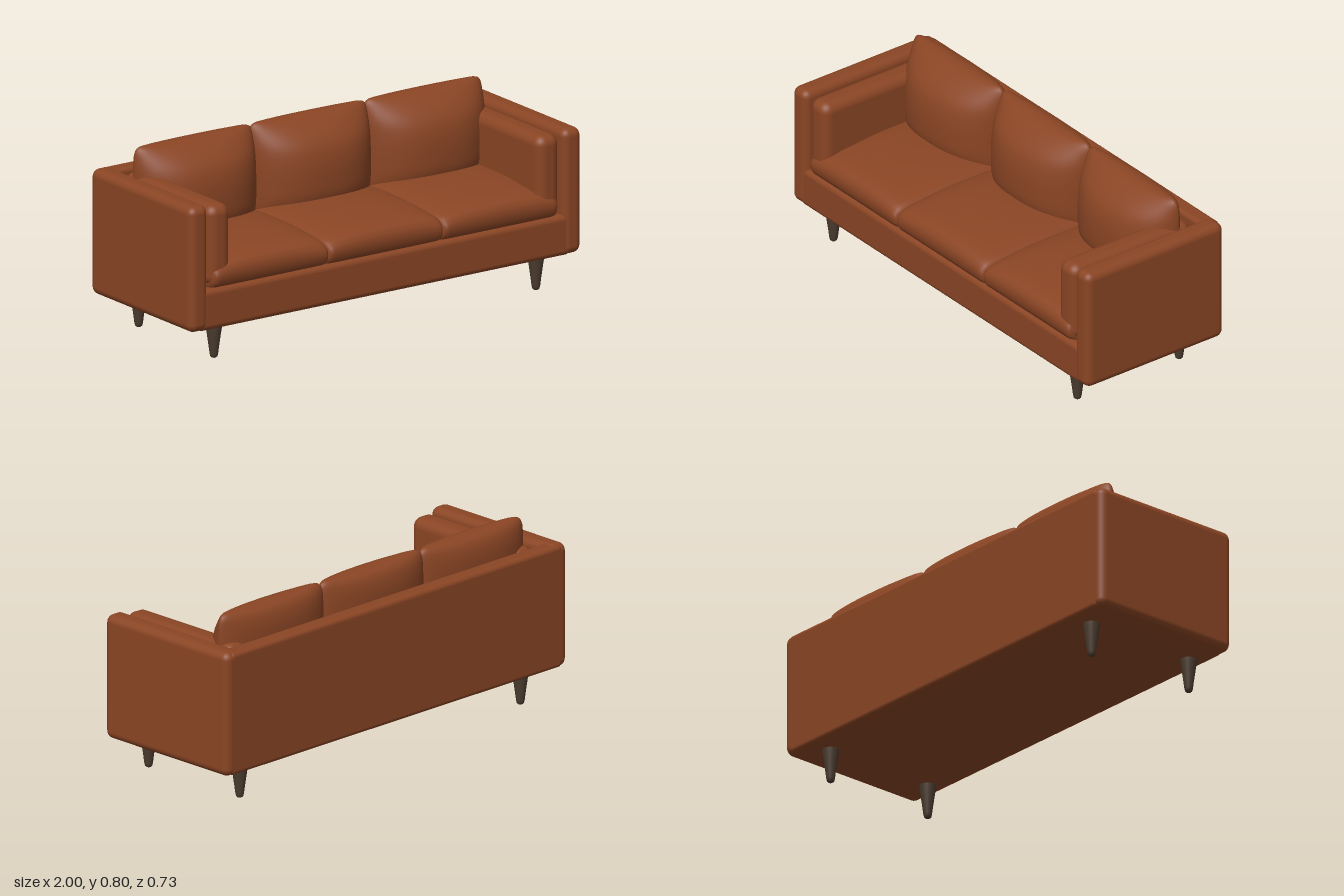
import * as THREE from 'three';
import { RoundedBoxGeometry } from 'three/addons/geometries/RoundedBoxGeometry.js';

const leather = new THREE.MeshStandardMaterial({ color: 0x8a4524 });
leather.name = 'brown leather';
const wood = new THREE.MeshStandardMaterial({ color: 0x4c3d30 });
wood.name = 'dark wood';

// Rounded upholstered block given by its min and max corners
function block(name, [x0, y0, z0], [x1, y1, z1], radius) {
  const geo = new RoundedBoxGeometry(x1 - x0, y1 - y0, z1 - z0, 5, radius);
  const mesh = new THREE.Mesh(geo, leather);
  mesh.position.set((x0 + x1) / 2, (y0 + y1) / 2, (z0 + z1) / 2);
  mesh.name = name;
  return mesh;
}

// Cushion lofted along x: a closed [z, y] profile (up the front, over the top,
// down the back) shrinks towards an anchor by scaleZ(u) and scaleY(u), u = -1..1
function cushion(name, profile, anchor, x, halfWidth, scaleZ, scaleY) {
  const rings = 40, around = 56;
  const curve = new THREE.CatmullRomCurve3(
    profile.map(([z, y]) => new THREE.Vector3(0, y, z)), true, 'centripetal');
  const section = curve.getSpacedPoints(around).slice(0, around);
  const positions = [], index = [];
  for (let i = 0; i <= rings; i++) {
    const u = -Math.cos(Math.PI * i / rings);
    const sz = scaleZ(u), sy = scaleY(u);
    for (const p of section) {
      positions.push(x + u * halfWidth,
        anchor[1] + (p.y - anchor[1]) * sy,
        anchor[0] + (p.z - anchor[0]) * sz);
    }
  }
  for (let i = 0; i < rings; i++) {
    for (let j = 0; j < around; j++) {
      const k = (j + 1) % around;
      const a = i * around + j, b = i * around + k;
      const c = a + around, d = b + around;
      index.push(a, c, b, b, c, d);
    }
  }
  const geo = new THREE.BufferGeometry();
  geo.setAttribute('position', new THREE.Float32BufferAttribute(positions, 3));
  geo.setIndex(index);
  geo.computeVertexNormals();
  const mesh = new THREE.Mesh(geo, leather);
  mesh.name = name;
  return mesh;
}

// Superellipse falloff: 1 in the middle, 0 at the ends
const falloff = (power, exponent) => (u) =>
  Math.pow(Math.max(0, 1 - Math.pow(Math.abs(u), power)), exponent);

const seatProfile = [
  [0.33, 0.32], [0.355, 0.34], [0.364, 0.375], [0.358, 0.415], [0.325, 0.44],
  [0.2, 0.461], [0.05, 0.472], [-0.15, 0.47], [-0.26, 0.46], [-0.275, 0.4],
  [-0.27, 0.32], [0, 0.315],
];
const backProfile = [
  [-0.07, 0.42], [-0.035, 0.47], [-0.028, 0.55], [-0.035, 0.64], [-0.055, 0.70],
  [-0.1, 0.753], [-0.16, 0.796], [-0.2, 0.804], [-0.25, 0.787], [-0.272, 0.74],
  [-0.28, 0.65], [-0.28, 0.5], [-0.26, 0.42],
];

// Tapered leg with a rounded foot
function leg(name, x, z) {
  const points = [
    [0, 0], [0.009, 0.001], [0.015, 0.006], [0.018, 0.018], [0.022, 0.05],
    [0.029, 0.1], [0.035, 0.14], [0.037, 0.165],
  ].map(([r, y]) => new THREE.Vector2(r, y));
  const mesh = new THREE.Mesh(new THREE.LatheGeometry(points, 24), wood);
  mesh.position.set(x, 0, z);
  mesh.name = name;
  return mesh;
}

export function createModel() {
  const sofa = new THREE.Group();
  sofa.name = 'sofa';

  // Frame
  sofa.add(block('base', [-0.95, 0.148, -0.355], [0.95, 0.325, 0.355], 0.025));
  sofa.add(block('backPanel', [-0.97, 0.152, -0.363], [0.97, 0.69, -0.285], 0.02));

  // Arms, padded inner arms and legs, mirrored
  for (const [side, s] of [['left', 1], ['right', -1]]) {
    const span = (a, b) => (s > 0 ? [a, b] : [-b, -a]);
    const [a0, a1] = span(0.905, 1);
    sofa.add(block(side + 'Arm', [a0, 0.15, -0.363], [a1, 0.695, 0.36], 0.035));
    const [p0, p1] = span(0.782, 0.897);
    sofa.add(block(side + 'ArmPad', [p0, 0.33, -0.28], [p1, 0.682, 0.352], 0.045));
    sofa.add(leg(side + 'FrontLeg', s * 0.822, 0.275));
    sofa.add(leg(side + 'BackLeg', s * 0.822, -0.26));
  }

  // Three seat cushions and three back cushions
  ['right', 'middle', 'left'].forEach((place, i) => {
    const x = (i - 1) * 0.585;
    sofa.add(cushion(place + 'SeatCushion', seatProfile, [0, 0.33], x, 0.305,
      falloff(40, 0.2), falloff(2, 0.12)));
    sofa.add(cushion(place + 'BackCushion', backProfile, [-0.205, 0.6], x, 0.303,
      falloff(2.4, 0.6), falloff(20, 0.15)));
  });

  return sofa;
}
